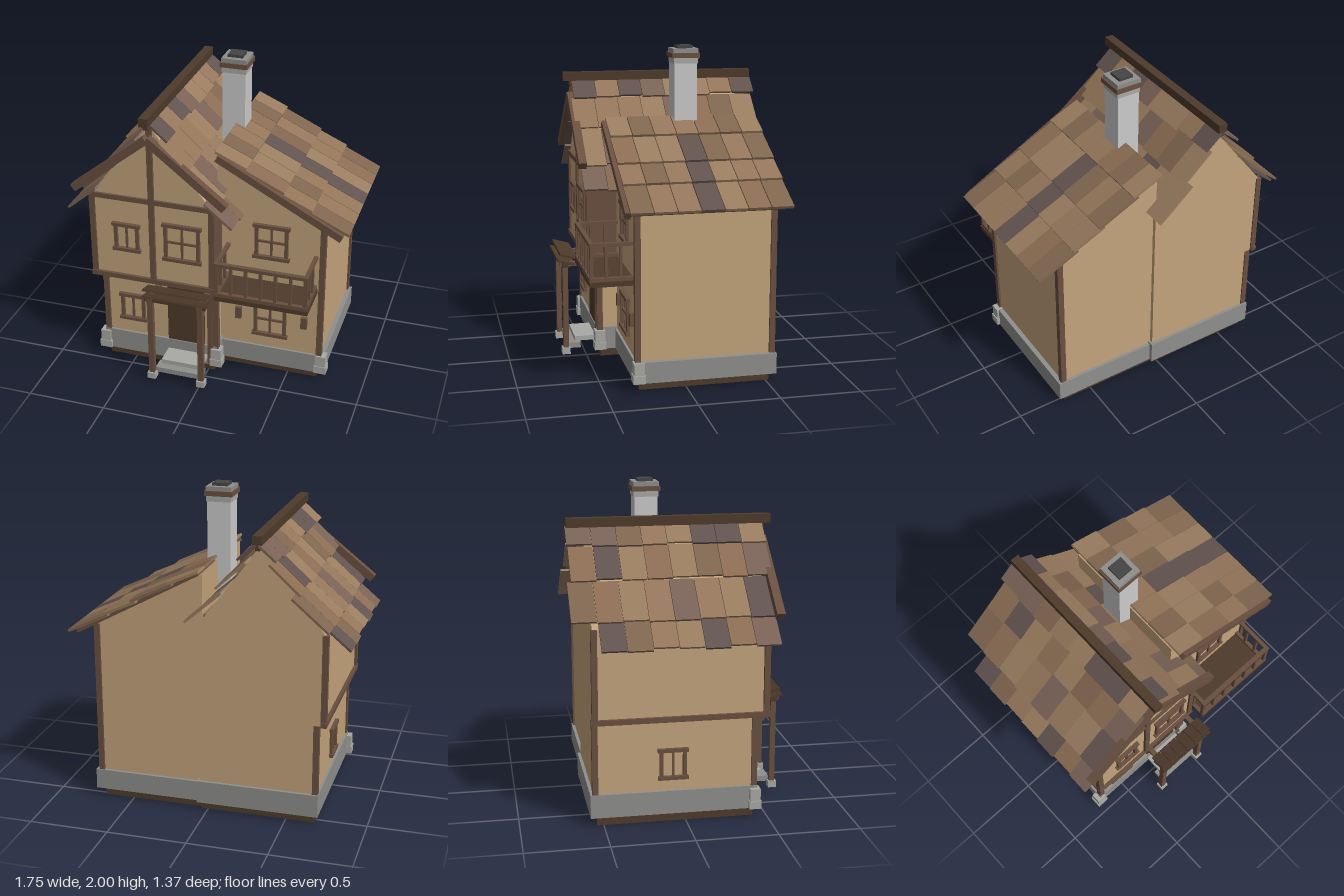
import * as THREE from 'three';

const mat = (color) => new THREE.MeshStandardMaterial({ color });
const M = {
  wall: mat(0xc4a47c), beam: mat(0x6a5040), dark: mat(0x4e3b2b), stone: mat(0x8f8f8d),
  block: mat(0xa9a9a4), chimney: mat(0xc8c8c4), soot: mat(0x454545),
};
const tileMats = [0x94765a, 0x8b6d53, 0x9a7d60, 0x80664f, 0x7a6256, 0x62534f].map(mat);

// Box from its minimum and maximum corners
function box(parent, name, material, x0, x1, y0, y1, z0, z1) {
  const m = new THREE.Mesh(new THREE.BoxGeometry(x1 - x0, y1 - y0, z1 - z0), material);
  m.position.set((x0 + x1) / 2, (y0 + y1) / 2, (z0 + z1) / 2);
  m.name = name;
  parent.add(m);
  return m;
}

// Sloping board running from a to b in the xy plane
function board(parent, name, material, a, b, thick, z0, z1) {
  const dx = b[0] - a[0], dy = b[1] - a[1], len = Math.hypot(dx, dy);
  const m = box(parent, name, material, -len / 2, len / 2, -thick / 2, thick / 2, z0, z1);
  m.position.set((a[0] + b[0]) / 2, (a[1] + b[1]) / 2, (z0 + z1) / 2);
  m.rotation.z = Math.atan2(dy, dx);
  return m;
}

// Wall volume with a polygonal front
function prism(parent, name, material, pts, z0, z1) {
  const shape = new THREE.Shape(pts.map(([x, y]) => new THREE.Vector2(x, y)));
  const g = new THREE.ExtrudeGeometry(shape, { depth: z1 - z0, bevelEnabled: false });
  const m = new THREE.Mesh(g, material);
  m.position.z = z0;
  m.name = name;
  parent.add(m);
}

// Framed window facing +z, centred on its position
function windowFrame(parent, x, y, z, w, h, cross) {
  const g = new THREE.Group();
  g.name = 'window';
  const a = w / 2, b = h / 2, t = 0.022;
  for (const s of [-1, 1]) {
    box(g, 'windowJamb', M.beam, s * (a - t) - t / 2, s * (a - t) + t / 2, -b, b, -0.01, 0.018);
    box(g, 'windowRail', M.beam, -a, a, s * (b - t / 2) - t / 2, s * (b - t / 2) + t / 2, -0.01, 0.025);
  }
  box(g, 'windowMullion', M.beam, -0.007, 0.007, -b, b, -0.01, 0.012);
  if (cross) box(g, 'windowCrossbar', M.beam, -a + t, a - t, -0.007, 0.007, -0.01, 0.012);
  g.position.set(x, y, z);
  parent.add(g);
  return g;
}

function seeded(seed) {
  return () => (seed = (seed * 16807) % 2147483647) / 2147483647;
}

export function createModel() {
  const house = new THREE.Group();
  house.name = 'house';
  const group = (name) => {
    const g = new THREE.Group();
    g.name = name;
    house.add(g);
    return g;
  };
  const rand = seeded(4711);
  const tileMat = () => tileMats[Math.floor(rand() * tileMats.length)];

  // Foundation
  const base = group('foundation');
  box(base, 'sillLeft', M.dark, -0.68, 0.04, 0, 0.06, -0.54, 0.415);
  box(base, 'sillRight', M.dark, 0.04, 0.69, 0, 0.06, -0.52, 0.29);
  box(base, 'plinthLeft', M.stone, -0.705, 0.065, 0.055, 0.2, -0.58, 0.44);
  box(base, 'plinthRight', M.stone, 0.06, 0.74, 0.055, 0.185, -0.555, 0.32);
  for (const [x, z] of [[-0.7, 0.425], [0.06, 0.425], [0.72, 0.3]]) {
    box(base, 'cornerStoneLow', M.block, x - 0.04, x + 0.04, 0.06, 0.11, z - 0.04, z + 0.035);
    box(base, 'cornerStoneHigh', M.block, x - 0.033, x + 0.033, 0.11, 0.185, z - 0.035, z + 0.03);
  }

  // Walls
  const walls = group('walls');
  box(walls, 'lowerWall', M.wall, -0.69, 0.05, 0.1, 0.66, -0.56, 0.425);
  prism(walls, 'gableWall', M.wall,
    [[-0.725, 0.65], [0.05, 0.65], [0.05, 1.22], [-0.335, 1.73], [-0.725, 1.22]], -0.56, 0.485);
  prism(walls, 'wingWall', M.wall,
    [[0.03, 0.1], [0.71, 0.1], [0.71, 1.165], [0.03, 1.525]], -0.535, 0.305);
  box(walls, 'sidePlanks', M.beam, 0.04, 0.06, 0.65, 1.24, 0.29, 0.48);

  // Timber frame
  const frame = group('timberFrame');
  const post = (x, z, y0, y1) =>
    box(frame, 'post', M.beam, x - 0.018, x + 0.018, y0, y1, z - 0.018, z + 0.018);
  post(-0.683, 0.42, 0.18, 0.65);
  post(0.055, 0.42, 0.18, 0.65);
  post(0.02, 0.425, 0.06, 0.65);
  post(-0.683, -0.55, 0.18, 0.65);
  post(-0.725, 0.48, 0.65, 1.22);
  post(0.05, 0.48, 0.65, 1.24);
  post(-0.725, -0.55, 0.65, 1.22);
  post(-0.333, 0.485, 0.65, 1.73);
  post(0.705, 0.3, 0.18, 1.16);
  post(0.705, -0.53, 0.18, 1.16);
  box(frame, 'jettyBeam', M.beam, -0.745, 0.07, 0.645, 0.677, 0.46, 0.505);
  box(frame, 'sideBeam', M.beam, -0.745, -0.71, 0.645, 0.677, -0.575, 0.5);
  box(frame, 'tieBeam', M.beam, -0.74, 0.06, 1.205, 1.237, 0.46, 0.5);
  box(frame, 'corbel', M.beam, -0.685, -0.648, 0.605, 0.65, 0.42, 0.48);

  // Windows
  const windows = group('windows');
  windowFrame(windows, -0.503, 0.95, 0.485, 0.185, 0.195);
  windowFrame(windows, -0.14, 0.962, 0.485, 0.255, 0.26, true);
  windowFrame(windows, -0.503, 0.398, 0.425, 0.185, 0.195);
  windowFrame(windows, 0.38, 0.963, 0.305, 0.235, 0.24, true);
  windowFrame(windows, 0.38, 0.392, 0.305, 0.235, 0.24, true);
  windowFrame(windows, -0.69, 0.37, -0.08, 0.185, 0.195).rotation.y = -Math.PI / 2;

  // Wall lamps beside the lower window
  for (const x of [0.172, 0.603]) box(house, 'wallLamp', M.beam, x - 0.02, x + 0.02, 0.375, 0.455, 0.3, 0.33);

  // Main roof: four stepped rows of shingles on each slope
  const mainRoof = group('mainRoof');
  const ridgeX = -0.335;
  const rows = [ // outer offset, outer y, inner offset, inner y, z start, columns
    [0.12, 1.66, 0.01, 1.755, -0.67, 8],
    [0.25, 1.48, 0.07, 1.645, -0.66, 8],
    [0.43, 1.27, 0.21, 1.46, -0.68, 8],
    [0.53, 1.125, 0.35, 1.275, -0.52, 7],
  ];
  for (const s of [-1, 1]) {
    for (const [xo, yo, xi, yi, z, n] of rows) {
      for (let c = 0; c < n; c++) {
        const z0 = z + c * 0.15, j = (rand() - 0.5) * 0.015;
        board(mainRoof, 'shingle', tileMat(), [ridgeX + s * (xo + j), yo - j],
          [ridgeX + s * xi, yi], 0.014, z0, z0 + 0.147);
      }
    }
    board(mainRoof, 'bargeBoard', M.beam, [ridgeX + s * 0.485, 1.275], [ridgeX, 1.66], 0.05, 0.505, 0.555);
  }
  box(mainRoof, 'ridgeBeam', M.dark, -0.363, -0.307, 1.755, 1.81, -0.665, 0.58);
  box(mainRoof, 'ridgeUnderBeam', M.dark, -0.35, -0.32, 1.72, 1.76, -0.65, 0.54);

  // Wing roof: overlapping shingles on a single slope
  const wingRoof = group('wingRoof');
  const at = (x, lift = 0) => [x, 1.555 - (x - 0.04) * 0.543 + lift];
  [[0.035, 0.23], [0.2, 0.465], [0.43, 0.64], [0.61, 0.87]].forEach(([x0, x1], r) => {
    for (let c = 0; c < 7; c++) {
      const z0 = -0.6 + c * 0.139;
      const m = c === 3 && r ? tileMats[5] : tileMats[Math.floor(rand() * 4)];
      board(wingRoof, 'shingle', m, at(x0, -0.005), at(x1, 0.014), 0.016, z0, z0 + 0.134);
    }
  });
  board(wingRoof, 'roofDeck', M.beam, at(0.05, -0.02), at(0.83, -0.02), 0.02, -0.56, 0.365);
  board(wingRoof, 'bargeBoard', M.beam, at(0.05, -0.025), at(0.83, -0.025), 0.045, 0.36, 0.395);

  // Chimney
  const chimney = group('chimney');
  const ring = (name, m, half, y0, y1) =>
    box(chimney, name, m, 0.022 - half, 0.022 + half, y0, y1, -0.135 - half, -0.135 + half);
  ring('chimneyShaft', M.chimney, 0.073, 1.2, 1.9);
  ring('chimneyNeck', M.block, 0.078, 1.89, 1.925);
  ring('chimneyBand', M.beam, 0.088, 1.925, 1.955);
  ring('chimneyCap', M.stone, 0.08, 1.955, 1.982);
  ring('chimneyFlue', M.soot, 0.048, 1.98, 2);

  // Balcony
  const balcony = group('balcony');
  box(balcony, 'balconyFloor', M.dark, 0.09, 0.68, 0.648, 0.678, 0.3, 0.578);
  for (const y of [0.69, 0.9]) {
    box(balcony, 'frontRail', M.beam, 0.09, 0.675, y - 0.01, y + 0.012, 0.55, 0.578);
    for (const x of [0.102, 0.663]) box(balcony, 'sideRail', M.beam, x - 0.012, x + 0.012, y - 0.01, y + 0.012, 0.3, 0.56);
  }
  for (let i = 0; i < 7; i++) {
    const x = 0.102 + i * 0.0935, w = i % 6 ? 0.009 : 0.013;
    box(balcony, 'baluster', M.beam, x - w, x + w, 0.67, 0.9, 0.554, 0.574);
  }
  for (const x of [0.102, 0.663]) for (const z of [0.39, 0.475])
    box(balcony, 'sideBaluster', M.beam, x - 0.009, x + 0.009, 0.67, 0.9, z - 0.009, z + 0.009);

  // Door, steps and porch
  const porch = group('porch');
  box(porch, 'door', M.dark, -0.265, -0.02, 0.2, 0.62, 0.42, 0.435);
  box(porch, 'doorLintel', M.beam, -0.3, 0.05, 0.615, 0.65, 0.42, 0.46);
  box(porch, 'upperStep', M.block, -0.265, 0, 0.1, 0.13, 0.43, 0.575);
  box(porch, 'lowerStep', M.stone, -0.29, 0.02, 0.06, 0.095, 0.54, 0.62);
  for (const x of [-0.305, 0.022]) {
    box(porch, 'porchPost', M.beam, x - 0.018, x + 0.018, 0.06, 0.62, 0.618, 0.652);
    box(porch, 'porchFooting', M.block, x - 0.027, x + 0.027, 0.03, 0.072, 0.61, 0.662);
    box(porch, 'porchBeam', M.beam, x - 0.016, x + 0.016, 0.612, 0.64, 0.43, 0.67);
  }
  box(porch, 'porchCrossBeam', M.dark, -0.34, 0.06, 0.61, 0.64, 0.615, 0.655);
  for (const [z, y] of [[0.632, 0.642], [0.615, 0.681]]) {
    for (let i = 0; i < 6; i++) {
      const x = -0.345 + i * 0.0685;
      const p = box(porch, 'porchShingle', M.dark, x, x + 0.065, -0.006, 0.006, -0.057, 0.057);
      p.position.set(x + 0.0325, y, z);
      p.rotation.x = -0.28;
    }
  }
  return house;
}
